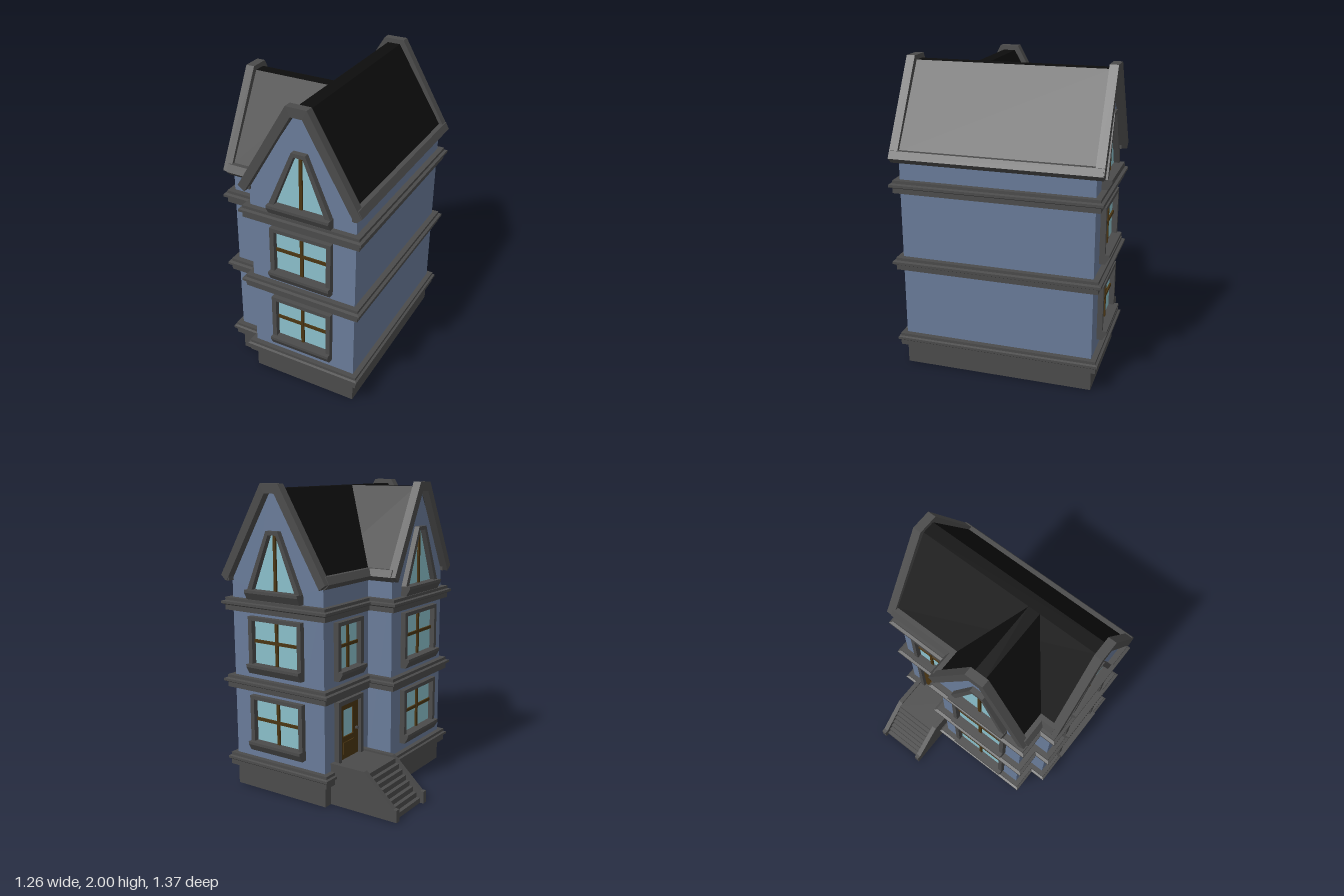
import * as THREE from 'three';

const mat = (color, side = THREE.FrontSide) => new THREE.MeshStandardMaterial({ color, side, flatShading: true });
const WALL = mat(0x697b99, THREE.DoubleSide);
const TRIM = mat(0x4b4b4b);
const TRIM2 = mat(0x4b4b4b, THREE.DoubleSide);
const SLATE = mat(0x0d0d0d, THREE.DoubleSide);
const GLASS = mat(0x8abfca, THREE.DoubleSide);
const WOOD = mat(0x4a3512);

const shapeOf = (pts) => new THREE.Shape(pts.map(([x, y]) => new THREE.Vector2(x, y)));
const rect = (hw, y0, y1) => [[-hw, y0], [hw, y0], [hw, y1], [-hw, y1]];

function add(parent, name, geometry, material) {
  const mesh = new THREE.Mesh(geometry, material);
  mesh.name = name;
  parent.add(mesh);
  return mesh;
}

function box(parent, name, material, w, h, d, x, y, z) {
  add(parent, name, new THREE.BoxGeometry(w, h, d), material).position.set(x, y, z);
}

// Solid made from an outline (with optional holes), from z0 to z0 + depth
function slab(pts, depth, z0 = 0, holes = []) {
  const s = shapeOf(pts);
  s.holes = holes.map(shapeOf);
  return new THREE.ExtrudeGeometry(s, { depth, bevelEnabled: false }).translate(0, 0, z0);
}

// Profile (outward, y) run along a straight wall; outward is +x before turning
function run(parent, name, profile, len, x, z, ry) {
  const m = add(parent, name, slab(profile, len, -len / 2), TRIM);
  m.position.set(x, 0, z);
  m.rotation.y = ry;
}

// L-shaped plan of the house as [x, z]
const PLAN = [[-0.15, 0.62], [0.57, 0.62], [0.57, -0.62], [-0.15, -0.62],
  [-0.15, -0.135], [-0.33, -0.135], [-0.33, 0.515], [-0.15, 0.515]];

// Profile (outward, y) swept round the plan with mitred corners
function sweepPlan(profile) {
  const n = PLAN.length, pos = [], index = [];
  const normal = (i) => {
    const [ax, az] = PLAN[(i + n) % n], [bx, bz] = PLAN[(i + 1) % n];
    const l = Math.hypot(bx - ax, bz - az);
    return [-(bz - az) / l, (bx - ax) / l];
  };
  for (const [o, y] of profile) {
    for (let i = 0; i < n; i++) {
      const p = normal(i - 1), q = normal(i);
      pos.push(PLAN[i][0] + o * (p[0] + q[0]), y, PLAN[i][1] + o * (p[1] + q[1]));
    }
  }
  for (let j = 0; j < profile.length - 1; j++) {
    for (let i = 0; i < n; i++) {
      const a = j * n + i, b = j * n + (i + 1) % n;
      index.push(a, b, b + n, a, b + n, a + n);
    }
  }
  const g = new THREE.BufferGeometry();
  g.setAttribute('position', new THREE.Float32BufferAttribute(pos, 3));
  g.setIndex(index);
  const flat = g.toNonIndexed();
  flat.computeVertexNormals();
  return flat;
}

// Window: frame, glass, glazing bars and a sloped sill; y is the sill's underside
function windowOf(parent, hw, y, inner, outer, barY) {
  const g = new THREE.Group();
  g.name = 'window';
  parent.add(g);
  add(g, 'windowFrame', slab(outer, 0.045, -0.01, [inner]), TRIM);
  add(g, 'windowGlass', new THREE.ShapeGeometry(shapeOf(inner)), GLASS);
  const y0 = inner[0][1], y1 = inner[2][1];
  box(g, 'verticalBar', WOOD, 0.02, y1 - y0, 0.024, 0, (y0 + y1) / 2, 0);
  if (barY) box(g, 'horizontalBar', WOOD, 2 * hw - 0.06, 0.02, 0.022, 0, barY, 0);
  run(g, 'windowSill', [[0, y], [0.037, y], [0.063, y + 0.045], [0.063, y + 0.063], [0, y + 0.063]],
    2 * hw, 0, 0, -Math.PI / 2);
}

const squareInner = (hw, y) => rect(hw - 0.03, y + 0.063, y + 0.345);
function squareWindow(parent, hw, y) {
  windowOf(parent, hw, y, squareInner(hw, y), rect(hw, y + 0.03, y + 0.37), y + 0.21);
}

const GABLE_INNER = [[-0.172, 1.34], [0.172, 1.34], [0.03, 1.69], [-0.03, 1.69]];
const GABLE_OUTER = [[-0.208, 1.31], [0.208, 1.31], [0.208, 1.34], [0.046, 1.715],
  [-0.046, 1.715], [-0.208, 1.34]];

function wall(parent, name, pts, holes, x, z, ry) {
  const g = new THREE.Group();
  g.name = name;
  g.position.set(x, 0, z);
  g.rotation.y = ry;
  const s = shapeOf(pts);
  s.holes = holes.map(shapeOf);
  add(g, 'wallFace', new THREE.ShapeGeometry(s), WALL);
  parent.add(g);
  return g;
}

// Gabled wall with three windows, roof coping and the slates running back from it
function gableWall(parent, name, x, z, ry, k, roofDepth) {
  const h = 0.36 * k;
  const pts = [[-h, 0.14], [h, 0.14], [h, 1.39], [0.04 * k, 1.94], [-0.04 * k, 1.94], [-h, 1.39]];
  const g = wall(parent, name, pts, [squareInner(0.21, 0.28), squareInner(0.21, 0.8), GABLE_INNER], x, z, ry);
  squareWindow(g, 0.21, 0.28);
  squareWindow(g, 0.21, 0.8);
  windowOf(g, 0.21, 1.28, GABLE_INNER, GABLE_OUTER);
  const mirrored = (half) => [...half, ...half.map(([u, v]) => [-u, v]).reverse()].map(([u, v]) => [u * k, v]);
  const outer = mirrored([[0.41, 1.42], [0.068, 2]]);
  const inner = mirrored([[0.365, 1.387], [0.038, 1.94]]).reverse();
  add(g, 'gableCoping', slab([...outer, ...inner], 0.055, -0.005), TRIM);
  if (roofDepth) {
    const top = mirrored([[0.362, 1.46], [0.043, 1.97]]);
    const under = mirrored([[0.355, 1.42], [0.037, 1.935]]).reverse();
    add(g, 'roofSlates', slab([...top, ...under], roofDepth, -roofDepth), SLATE);
  }
}

export function createModel() {
  const house = new THREE.Group();
  house.name = 'house';
  const P = Math.PI;

  // Walls
  gableWall(house, 'frontWall', 0.21, 0.62, 0, 1, 1.24);
  gableWall(house, 'backWall', 0.21, -0.62, P, 1, 0);
  gableWall(house, 'wingWall', -0.33, 0.19, -P / 2, 0.903, 0.497);
  wall(house, 'leftWall', rect(0.62, 0.14, 1.42), [], 0.57, 0, P / 2);
  wall(house, 'wingFrontWall', rect(0.09, 0.14, 1.42), [], -0.24, 0.515, 0);
  wall(house, 'wingBackWall', rect(0.09, 0.14, 1.42), [], -0.24, -0.135, P);
  wall(house, 'rightFrontWall', rect(0.0525, 0.14, 1.42), [], -0.15, 0.5675, -P / 2);

  // Entrance wall with door and a narrow window above
  const doorHole = rect(0.11, 0.26, 0.635);
  const entry = wall(house, 'entranceWall', rect(0.2425, 0.14, 1.42), [doorHole, squareInner(0.14, 0.8)],
    -0.15, -0.3775, -P / 2);
  squareWindow(entry, 0.14, 0.8);
  add(entry, 'doorFrame', slab(rect(0.14, 0.26, 0.665), 0.045, -0.01, [doorHole]), TRIM);
  const pane = rect(0.055, 0.41, 0.59);
  add(entry, 'door', slab(doorHole, 0.02, -0.01, [pane]), WOOD);
  add(entry, 'doorGlass', new THREE.ShapeGeometry(shapeOf(pane)), GLASS);
  box(entry, 'doorPanel', WOOD, 0.12, 0.08, 0.012, 0, 0.335, 0.01);
  box(entry, 'doorKnob', TRIM, 0.015, 0.015, 0.02, 0.083, 0.44, 0.018);

  // Plinth and the three string courses
  add(house, 'plinth', sweepPlan([[0, 0], [0, 0.142]]), TRIM2);
  const course = (y, a, b) => [[0, y], [a, y], [a, y + 0.032], [b, y + 0.042], [b, y + 0.058],
    [a, y + 0.063], [a, y + 0.082], [0, y + 0.082]];
  for (const [y, a, b] of [[0.14, 0.033, 0.047], [0.68, 0.036, 0.055], [1.195, 0.036, 0.055]]) {
    add(house, 'stringCourse', sweepPlan(course(y, a, b)), TRIM2);
  }

  // Eaves
  const eave = [[-0.01, 1.387], [0.02, 1.387], [0.054, 1.42], [0.03, 1.465], [-0.01, 1.465]];
  run(house, 'leftEave', eave, 1.33, 0.57, 0, 0);
  run(house, 'rightBackEave', eave, 0.5, -0.15, -0.385, P);
  run(house, 'rightFrontEave', eave, 0.12, -0.15, 0.575, P);
  run(house, 'wingFrontEave', eave, 0.2, -0.25, 0.515, -P / 2);
  run(house, 'wingBackEave', eave, 0.2, -0.25, -0.135, P / 2);

  // Entrance stairs: two side walls, a folded sheet of steps and a landing
  const stairs = new THREE.Group();
  stairs.name = 'stairs';
  house.add(stairs);
  const side = [[-0.635, 0], [-0.15, 0], [-0.15, 0.275], [-0.4, 0.275], [-0.61, 0.08], [-0.635, 0.08]];
  for (const z of [-0.56, -0.23]) add(stairs, 'stairSide', slab(side, 0.033, z), TRIM);
  const steps = 8, dx = 0.21 / steps, dy = 0.262 / steps, zig = [];
  for (let i = 0; i < steps; i++) {
    zig.push([-0.61 + i * dx, i * dy], [-0.61 + i * dx, (i + 1) * dy]);
  }
  zig.push([-0.15, 0.262]);
  const back = zig.map(([x, y]) => [x + 0.008, y - 0.008]).reverse();
  back[back.length - 1][1] = 0;
  back[0][0] = -0.15;
  add(stairs, 'stepsAndLanding', slab([...zig, ...back], 0.3, -0.53), TRIM2);

  return house;
}
